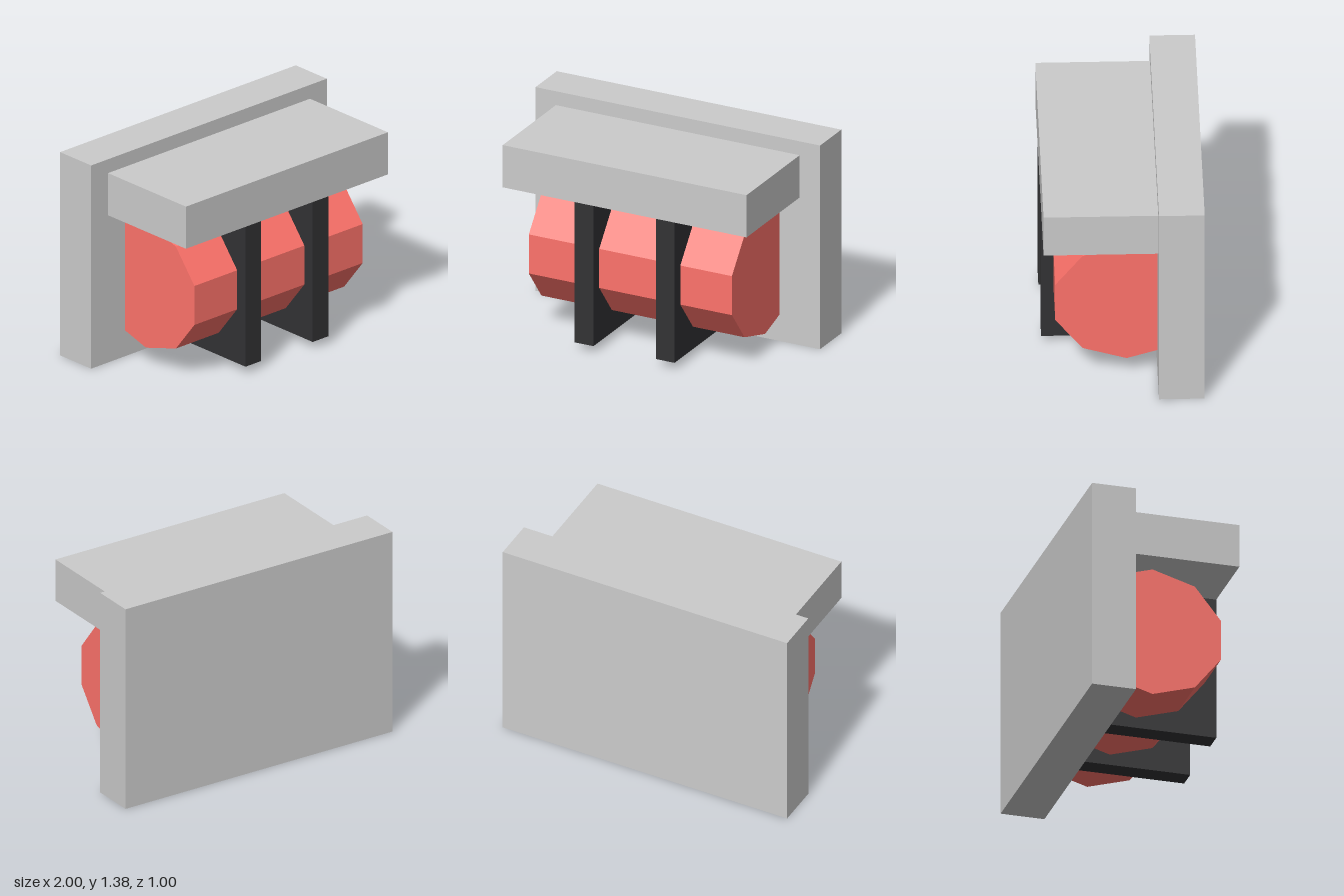
import * as THREE from 'three';

export function createModel() {
  const model = new THREE.Group();
  const grey = new THREE.MeshStandardMaterial({ color: 0xcccccc, flatShading: true });
  const red = new THREE.MeshStandardMaterial({ color: 0xff736b, flatShading: true });
  const black = new THREE.MeshStandardMaterial({ color: 0x323234, flatShading: true });

  function add(name, geometry, material) {
    const mesh = new THREE.Mesh(geometry, material);
    mesh.name = name;
    model.add(mesh);
    return mesh;
  }

  // box given by its low and high corners
  function box(name, [x0, y0, z0], [x1, y1, z1], material) {
    const mesh = add(name, new THREE.BoxGeometry(x1 - x0, y1 - y0, z1 - z0), material);
    mesh.position.set((x0 + x1) / 2, (y0 + y1) / 2, (z0 + z1) / 2);
  }

  // upright panel with a shelf projecting forward from it
  box('backPanel', [-1, 0, -0.5], [1, 1.38, -0.215], grey);
  box('shelf', [-0.857, 1.0, -0.215], [0.857, 1.286, 0.5], grey);

  // ten-sided roll lying across, slightly deeper than tall, sunk into the panel
  const roll = new THREE.CylinderGeometry(1, 1, 1.428, 10, 1, false, Math.PI / 2);
  roll.rotateZ(Math.PI / 2).scale(1, 0.428, 0.468);
  add('roll', roll, red).position.set(0, 0.548, -0.022);

  // two dark brackets holding the roll under the shelf
  for (const [side, x] of [['left', 0.285], ['right', -0.285]]) {
    box(side + 'Bracket', [x - 0.066, 0.05, -0.215], [x + 0.066, 1.0, 0.5], black);
  }

  return model;
}
